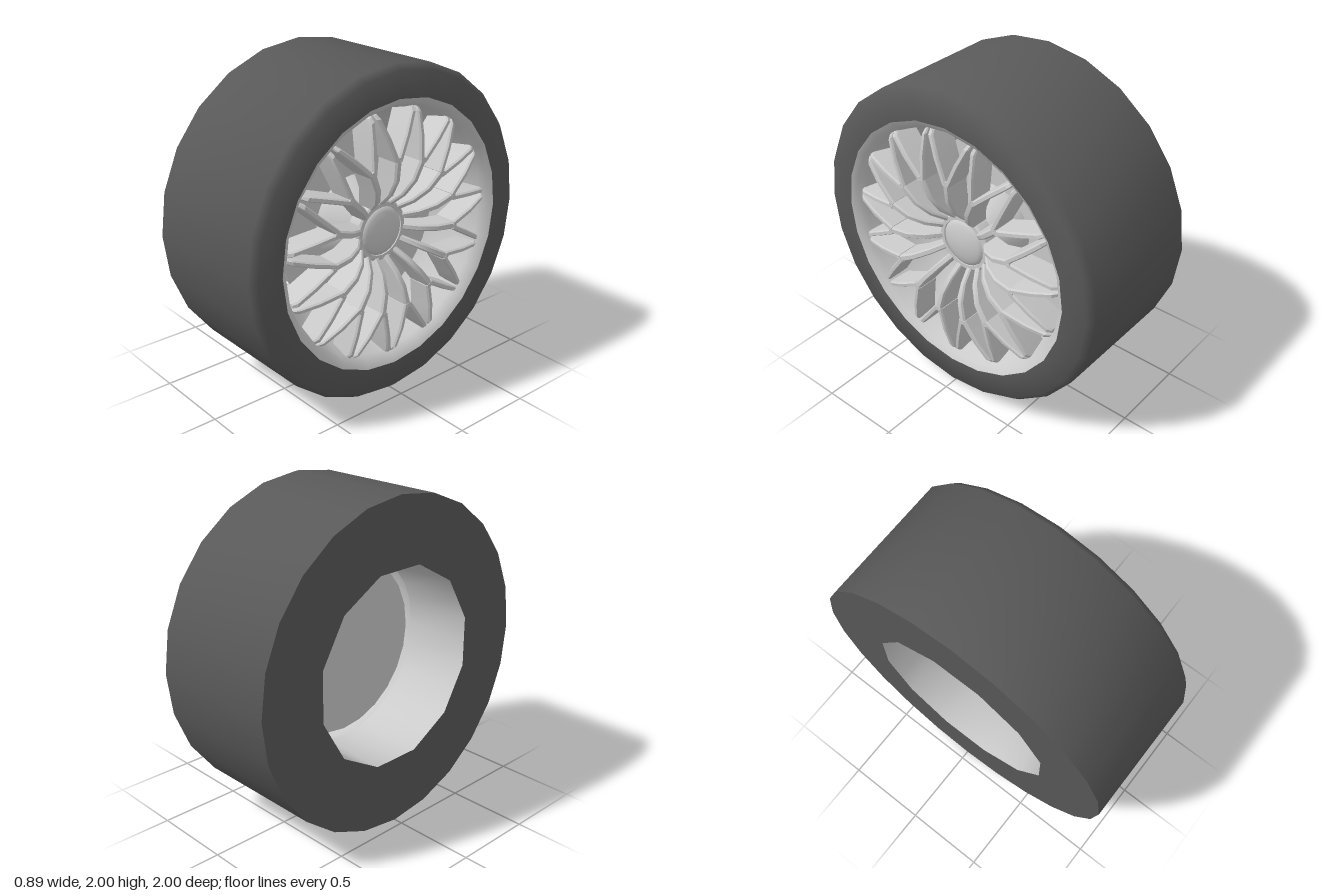
import * as THREE from 'three';
import { toCreasedNormals } from 'three/addons/utils/BufferGeometryUtils.js';

const SIDES = 24, SPOKES = 15, BORE = 0.6;

const metal = new THREE.MeshStandardMaterial({ color: 0xcccccc });
const rubber = new THREE.MeshStandardMaterial({ color: 0x595959 });

function add(parent, name, geometry, material = metal) {
  const mesh = new THREE.Mesh(geometry, material);
  mesh.name = name;
  parent.add(mesh);
  return mesh;
}

// Revolves [radius, x] points around the x axis; the rear bore becomes a twelve-sided hole
function revolve(points, crease = 1) {
  const geo = new THREE.LatheGeometry(points.map(([r, x]) => new THREE.Vector2(r, x)), SIDES);
  const p = geo.attributes.position;
  for (let i = 0; i < p.count; i++) {
    const side = Math.floor(i / points.length);
    if (points[i % points.length][0] === BORE && side % 2 === 0) {
      const k = Math.cos(Math.PI / 12);
      p.setX(i, p.getX(i) * k);
      p.setZ(i, p.getZ(i) * k);
    }
  }
  geo.rotateZ(-Math.PI / 2);
  return toCreasedNormals(geo, crease);
}

// Lofts a deep, chamfered blade through stations of
// [radius, sideways offset, front x, back x, half width]
function blade(stations) {
  const pos = [], idx = [], n = 6;
  for (const [r, t, front, back, w] of stations) {
    const section = [[-w, back], [-w, front - 0.012], [-0.6 * w, front],
      [0.6 * w, front], [w, front - 0.012], [w, back]];
    for (const [dz, x] of section) pos.push(x, r, t + dz);
  }
  for (let i = 0; i < stations.length - 1; i++) {
    for (let j = 0; j < n; j++) {
      const a = i * n + j, b = i * n + (j + 1) % n;
      idx.push(a, a + n, b, b, a + n, b + n);
    }
  }
  const last = (stations.length - 1) * n;
  for (let j = 1; j < n - 1; j++) {
    idx.push(0, j, j + 1, last, last + j + 1, last + j);
  }
  const geo = new THREE.BufferGeometry();
  geo.setAttribute('position', new THREE.Float32BufferAttribute(pos, 3));
  geo.setIndex(idx);
  return toCreasedNormals(geo, 0.4);
}

// Brake caliper: a thick arc straddling the rear edge of the disc
function caliperGeometry() {
  const from = -0.95, to = 0.69;
  const shape = new THREE.Shape();
  shape.absarc(0, 0, 0.64, from, to, false);
  shape.absarc(0, 0, 0.43, to, from, true);
  const geo = new THREE.ExtrudeGeometry(shape, { depth: 0.1, bevelEnabled: false, curveSegments: 5 });
  geo.rotateY(Math.PI / 2);
  geo.translate(-0.03, 0, 0);
  return toCreasedNormals(geo, 0.6);
}

export function createModel() {
  const model = new THREE.Group();
  model.name = 'wheel';
  const wheel = new THREE.Group();
  wheel.name = 'wheelAssembly';
  wheel.position.y = 1;
  model.add(wheel);

  // Tyre with a flat back and a chamfered outer shoulder
  add(wheel, 'tyre', revolve([[BORE, -0.445], [1, -0.445], [1, 0.395], [0.965, 0.437], [0.81, 0.437]]), rubber);

  // Rim: sloping outer lip, bowl and barrel
  const rim = add(wheel, 'rim', revolve([[0.81, 0.437], [0.775, 0.415], [0.75, 0.37], [0.72, 0.26],
    [0.68, 0.14], [0.63, 0.04], [0.58, -0.02], [BORE, -0.445]]), metal.clone());
  rim.material.side = THREE.DoubleSide;

  // Brake behind the spokes
  add(wheel, 'brakeDisc', revolve([[0, 0], [0.545, 0], [0.545, 0.04], [0, 0.04]]));
  add(wheel, 'brakeCaliper', caliperGeometry());

  // Hub and shallow domed centre cap
  add(wheel, 'hub', revolve([[0.27, 0.04], [0.255, 0.1], [0.185, 0.22], [0.185, 0.3], [0.175, 0.31],
    [0.15, 0.31], [0.15, 0.295], [0, 0.295]], 0.5));
  add(wheel, 'centreCap', revolve([[0.149, 0.295], [0.147, 0.305], [0.12, 0.318], [0.08, 0.328],
    [0.04, 0.334], [0, 0.336]], 1.5));

  // Forked spokes
  const stem = blade([[0.16, 0, 0.305, 0.2, 0.019], [0.24, 0, 0.385, 0.24, 0.019],
    [0.34, 0, 0.435, 0.285, 0.02], [0.48, 0, 0.447, 0.3, 0.023]]);
  const arms = [-1, 1].map((s) => blade([[0.455, s * 0.008, 0.447, 0.3, 0.018],
    [0.6, s * 0.072, 0.44, 0.28, 0.018], [0.715, s * 0.127, 0.418, 0.26, 0.017],
    [0.738, s * 0.136, 0.395, 0.26, 0.014]]));
  for (let i = 0; i < SPOKES; i++) {
    const spoke = new THREE.Group();
    spoke.name = 'spoke';
    spoke.rotation.x = (i / SPOKES) * Math.PI * 2;
    add(spoke, 'spokeStem', stem);
    arms.forEach((arm) => add(spoke, 'spokeArm', arm));
    wheel.add(spoke);
  }
  return model;
}
